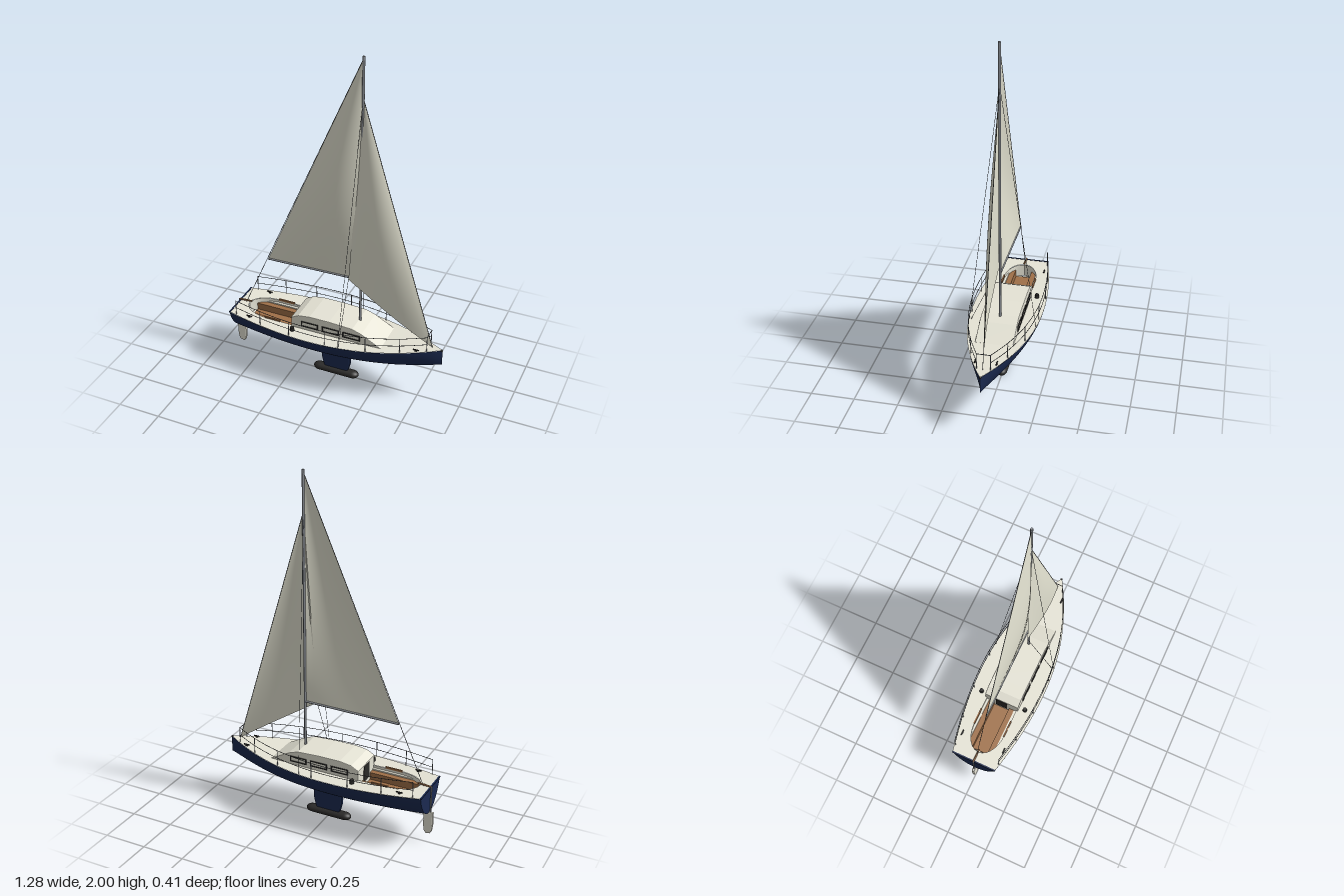
import * as THREE from 'three';

const V = (x, y, z) => new THREE.Vector3(x, y, z);
const mat = (name, color, side = THREE.FrontSide) => {
  const m = new THREE.MeshStandardMaterial({ color, side });
  m.name = name;
  return m;
};
const range = (a, b, n) => Array.from({ length: n + 1 }, (_, i) => a + (b - a) * i / n);

// Hull lines: half beam, sheer height and keel height along the length
const STERN = -0.615, BOW = 0.635, WIDE = -0.1;
const fore = x => Math.max(0, (x - WIDE) / (BOW - WIDE));
const aft = x => Math.max(0, (WIDE - x) / (WIDE - STERN));
const beam = x => 0.203 * (1 - fore(x) ** 2.2) - 0.068 * aft(x) ** 1.8;
const sheer = x => 0.338 + 0.022 * fore(x) ** 2 + 0.008 * aft(x) ** 2;
const keelLine = x => 0.178 + 0.085 * fore(x) ** 3 + 0.015 * aft(x) ** 2;
// Half width of the cockpit opening, rounded at its aft end
const opening = x => {
  if (x <= -0.555 || x > -0.215) return 0;
  return x < -0.4 ? 0.095 * Math.sqrt(Math.max(0, 1 - ((x + 0.4) / 0.155) ** 2)) : 0.095;
};
const section = (x, v) => {
  const a = Math.PI * v;
  return V(x, sheer(x) - (sheer(x) - keelLine(x)) * Math.max(0, Math.sin(a)) ** 1.45, -beam(x) * Math.cos(a));
};

// Surface through a grid of points
function grid(us, vs, fn) {
  const pos = [], idx = [], n = vs.length;
  us.forEach((u, i) => vs.forEach((v, j) => {
    pos.push(...fn(u, v).toArray());
    if (i && j) {
      const d = i * n + j, c = d - 1, b = d - n, a = b - 1;
      idx.push(a, c, d, a, d, b);
    }
  }));
  const g = new THREE.BufferGeometry();
  g.setAttribute('position', new THREE.Float32BufferAttribute(pos, 3));
  g.setIndex(idx);
  g.computeVertexNormals();
  return g;
}

// Flat outline in x and y, given a thickness centred on z = 0
function plate(points, depth, bevel = 0, hole) {
  const s = new THREE.Shape(points.map(p => new THREE.Vector2(...p)));
  if (hole) s.holes.push(new THREE.Path(hole.map(p => new THREE.Vector2(...p))));
  const g = new THREE.ExtrudeGeometry(s, {
    depth: depth - 2 * bevel, bevelEnabled: bevel > 0, bevelSize: bevel,
    bevelThickness: bevel, bevelOffset: -bevel, bevelSegments: 2,
  });
  return g.translate(0, 0, bevel - depth / 2);
}

export function createModel() {
  const navy = mat('navy hull', 0x1b2a50);
  const cream = mat('cream paint', 0xe6e4d6);
  const creamSheet = mat('cream sheet', 0xe6e4d6, THREE.DoubleSide);
  const sailcloth = mat('sailcloth', 0xe4e3d2, THREE.DoubleSide);
  const teak = mat('teak', 0x9f7048);
  const metal = mat('grey metal', 0x8b8f95);
  const wire = mat('dark wire', 0x4a4d50);
  const black = mat('black fittings', 0x2a2928);

  const boat = new THREE.Group();
  boat.name = 'sailboat';
  const add = (name, geo, material, x = 0, y = 0, z = 0) => {
    const m = new THREE.Mesh(geo, material);
    m.name = name;
    m.position.set(x, y, z);
    boat.add(m);
    return m;
  };
  const box = (name, material, w, h, d, x, y, z) => add(name, new THREE.BoxGeometry(w, h, d), material, x, y, z);
  const rod = (name, a, b, r, material, sides = 6) => {
    const dir = b.clone().sub(a);
    const m = add(name, new THREE.CylinderGeometry(r, r, dir.length(), sides), material);
    m.position.copy(a).addScaledVector(dir, 0.5);
    m.quaternion.setFromUnitVectors(V(0, 1, 0), dir.normalize());
    return m;
  };

  // Hull shell and transom
  add('hull', grid(range(STERN, BOW, 48), range(0, 1, 28), section), navy);
  add('transom', grid(range(0, 1, 28), [0, 1], (u, v) => {
    const p = section(STERN, u);
    p.y += (sheer(STERN) - p.y) * v;
    return p;
  }), navy);
  box('transomCap', navy, 0.009, 0.006, 0.272, STERN, sheer(STERN), 0);

  // Deck, left open over the cockpit
  const deckX = [...range(STERN, -0.555, 3), ...range(-0.55, -0.22, 22), ...range(-0.21, BOW, 34)];
  for (const s of [1, -1]) {
    add('deck', grid(deckX, s > 0 ? [1, 0] : [0, 1], (x, v) =>
      V(x, sheer(x) + 0.001, s * (opening(x) + (beam(x) - opening(x)) * v))), cream);
    add('cockpitWall', grid(range(-0.555, -0.22, 24), [0, 1], (x, v) =>
      V(x, sheer(x) - 0.075 * v, s * opening(x))), creamSheet);
    // Cockpit benches and side ledges
    box('cockpitBench', teak, 0.295, 0.05, 0.032, -0.3825, 0.29, s * 0.064);
    box('cockpitLedge', cream, 0.31, 0.06, 0.022, -0.385, 0.293, s * 0.091);
    box('coamingCap', teak, 0.1, 0.012, 0.008, -0.36, 0.344, s * 0.095);
  }
  box('cockpitFloor', teak, 0.295, 0.01, 0.1, -0.3825, 0.268, 0);
  box('cockpitBase', cream, 0.33, 0.008, 0.18, -0.39, 0.26, 0);

  // Cabin with windows on both sides
  add('cabin', plate([[-0.235, 0.27], [0.2, 0.31], [0.31, 0.338], [0.31, 0.346], [0.195, 0.408],
    [0.14, 0.427], [0, 0.434], [-0.12, 0.434], [-0.19, 0.424], [-0.235, 0.4]], 0.21, 0.004), cream);
  box('companionway', black, 0.006, 0.095, 0.07, -0.235, 0.345, 0);
  const rect = (w, h) => [[-w, -h], [w, -h], [w, h], [-w, h]];
  for (const s of [1, -1]) for (const x of [-0.12, 0.008, 0.135])
    add('windowFrame', plate(rect(0.052, 0.017), 0.006, 0, rect(0.046, 0.012)), black, x, 0.376, s * 0.107);

  // Keel fin, ballast bulb and rudder
  add('keelFin', plate([[-0.09, 0.2], [-0.09, 0.1], [-0.08, 0.06], [-0.068, 0.03], [0.068, 0.03],
    [0.08, 0.06], [0.09, 0.1], [0.09, 0.2]], 0.024, 0.008), navy);
  const bulb = add('ballastBulb', new THREE.CapsuleGeometry(0.03, 0.16, 8, 20).rotateZ(Math.PI / 2), black, -0.002, 0.023, 0);
  bulb.scale.set(1.27, 0.75, 1);
  add('rudder', plate([[-0.64, 0.195], [-0.64, 0.12], [-0.635, 0.08], [-0.625, 0.062], [-0.6, 0.058],
    [-0.588, 0.075], [-0.583, 0.11], [-0.583, 0.197]], 0.018, 0.006), cream);
  rod('tiller', V(-0.62, 0.352, 0), V(-0.54, 0.357, 0), 0.005, teak, 8);
  rod('rudderStock', V(-0.622, 0.18, 0), V(-0.622, 0.352, 0), 0.005, metal, 8);

  // Mast and boom
  const mastX = 0.145;
  rod('mast', V(mastX, 0.42, 0), V(mastX, 2, 0), 0.007, metal, 12);
  rod('boom', V(mastX, 0.693, 0), V(-0.42, 0.684, 0), 0.006, metal, 10);

  // Sails, bellied toward the left side
  const sail = (name, head, tack, clew, belly, footBelly) =>
    add(name, grid(range(0, 1, 20), range(0, 1, 28), (u, v) => {
      const p = tack.clone().lerp(clew, u).sub(head).multiplyScalar(v).add(head);
      const full = Math.sin(Math.PI * v ** 1.25) * (1 - footBelly) + v * footBelly;
      p.z += belly * Math.sin(Math.PI * u ** 0.85) * full;
      return p;
    }), sailcloth);
  const masthead = V(mastX, 1.99, 0), stayTop = V(mastX, 1.78, 0);
  const jibTack = V(0.575, 0.365, 0), jibClew = V(0.08, 0.69, 0.02);
  sail('mainsail', masthead, V(mastX - 0.003, 0.692, 0), V(-0.42, 0.688, 0), 0.04, 0);
  sail('jib', stayTop, jibTack, jibClew, 0.035, 0.4);

  // Standing and running rigging
  rod('forestay', stayTop, jibTack, 0.0016, wire);
  rod('backstay', masthead, V(-0.575, 0.345, 0), 0.0016, wire);
  rod('jibSheet', jibClew, V(0.088, 0.34, 0.18), 0.0012, wire);
  for (const s of [1, -1]) rod('shroud', stayTop, V(0.088, 0.338, s * 0.19), 0.0012, wire);

  // Guard rails: posts with two wires each side, joined at the bow
  const posts = [-0.57, -0.4, -0.21, 0.01, 0.24, 0.42, 0.555];
  const railPoint = (x, s, h) => V(x, sheer(x) + h, s * (beam(x) - 0.008));
  for (const s of [1, -1]) {
    posts.forEach(x => rod('railPost', railPoint(x, s, 0), railPoint(x, s, 0.093), 0.0022, metal));
    for (const h of [0.093, 0.046]) {
      const curve = new THREE.CatmullRomCurve3(posts.map(x => railPoint(x, s, h)));
      add('railWire', new THREE.TubeGeometry(curve, 40, 0.0017, 5), wire);
    }
    // Winches and mooring cleats
    add('winch', new THREE.CylinderGeometry(0.011, 0.013, 0.024, 16), black, -0.213, 0.35, s * 0.14);
    for (const [x, z] of [[-0.49, 0.132], [0.5, 0.058]]) {
      box('cleatFoot', black, 0.012, 0.01, 0.006, x, sheer(x) + 0.005, s * z);
      rod('cleatBar', V(x - 0.017, sheer(x) + 0.011, s * z), V(x + 0.017, sheer(x) + 0.011, s * z), 0.0035, black);
    }
  }
  rod('bowRail', railPoint(0.555, 1, 0.093), railPoint(0.555, -1, 0.093), 0.0022, metal);
  add('stemFitting', new THREE.SphereGeometry(0.007, 10, 8), black, 0.63, 0.357, 0);

  return boat;
}
